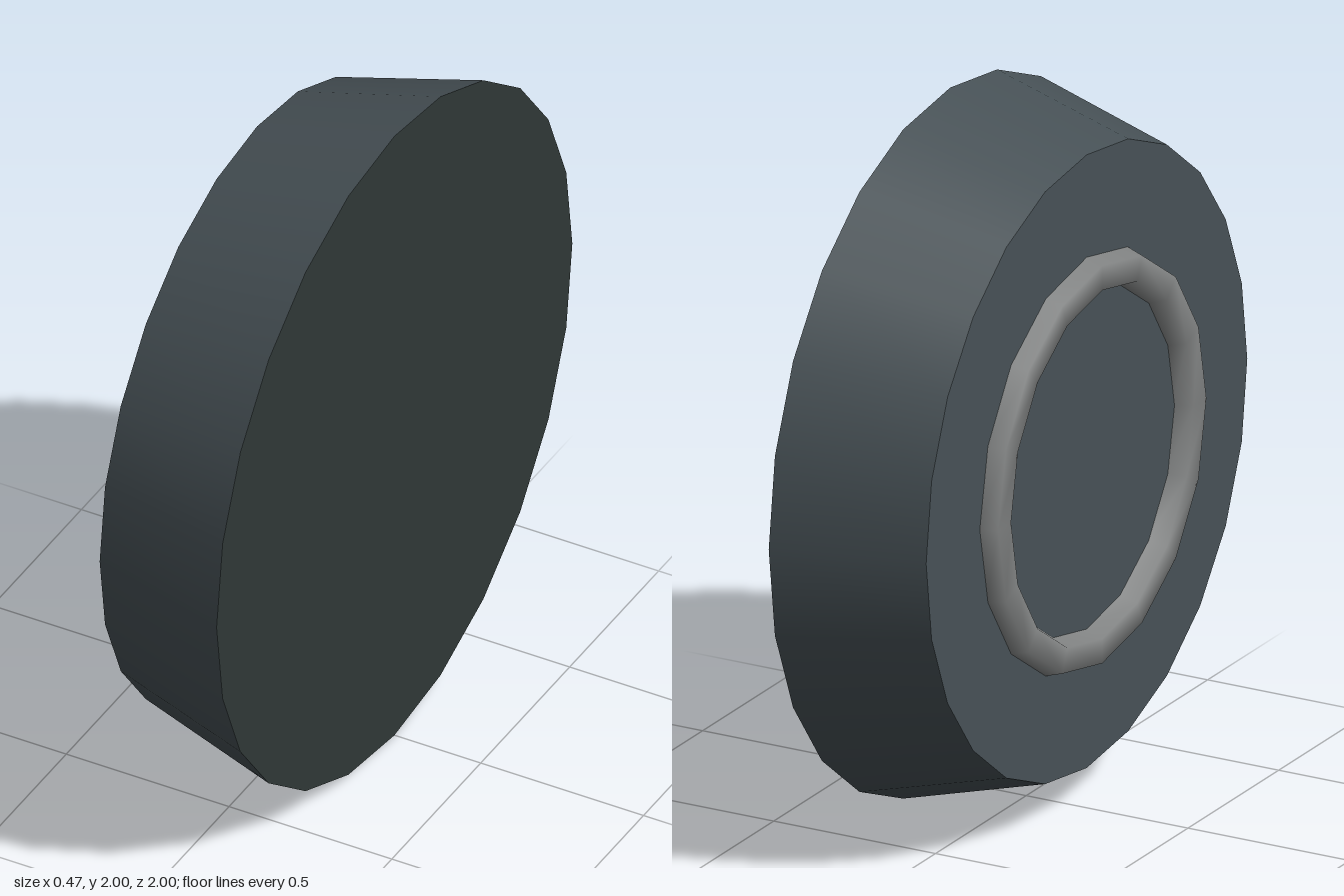
import * as THREE from 'three';

const material = (name, color) => {
  const m = new THREE.MeshStandardMaterial({ color });
  m.name = name;
  return m;
};

export function createModel() {
  const slate = material('slate', 0x475156);
  const darkGreen = material('dark green grey', 0x2f3836);
  const grey = material('grey', 0x808282);
  const group = new THREE.Group();

  // Tapered disc lying along x, with a darker wide face on +x
  const bodyGeometry = new THREE.CylinderGeometry(1, 0.885, 0.422, 24);
  bodyGeometry.rotateZ(-Math.PI / 2);
  const body = new THREE.Mesh(bodyGeometry, [slate, darkGreen, slate]);
  body.name = 'taperedDisc';
  body.position.set(0.024, 1, 0);
  group.add(body);

  // Raised ring on the narrow face, softly shaded
  const profile = [
    [0.482, -0.182], [0.503, -0.235], [0.574, -0.235], [0.591, -0.182],
  ].map(([r, h]) => new THREE.Vector2(r, h));
  const ringGeometry = new THREE.LatheGeometry(profile, 16);
  ringGeometry.rotateZ(-Math.PI / 2);
  const ring = new THREE.Mesh(ringGeometry, grey);
  ring.name = 'raisedRing';
  ring.position.y = 1;
  group.add(ring);

  return group;
}
